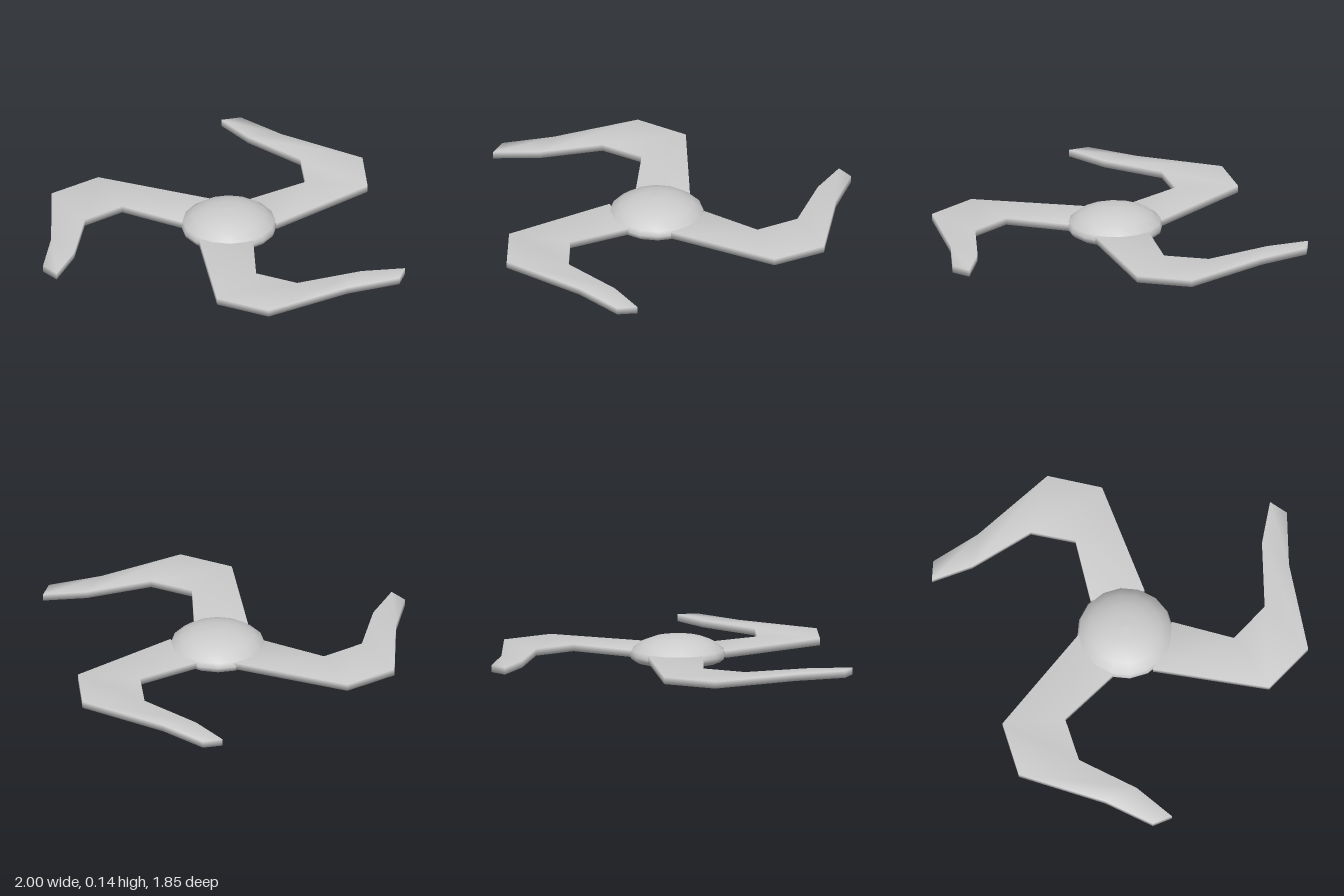
import * as THREE from 'three';

const material = new THREE.MeshStandardMaterial({ color: 0xcccccc });
const HUB = { x: -0.04, z: 0.087, sides: 16 };
const ARM_TOP = 0.057, ARM_BOTTOM = 0.02;

// Each arm runs root to tip as stations: outer x, z, then inner x, z.
const ARMS = {
  rightArm: [
    [-0.2, -0.09, -0.26, 0.19], [-0.835, -0.085, -0.61, 0.15], [-1, 0.16, -0.74, 0.35],
    [-0.83, 0.6, -0.67, 0.68], [-0.77, 0.87, -0.675, 0.92],
  ],
  backArm: [
    [0.2, 0.02, -0.02, -0.16], [0.5, -0.51, 0.185, -0.43], [0.37, -0.77, 0.075, -0.64],
    [-0.11, -0.845, -0.26, -0.755], [-0.37, -0.93, -0.455, -0.87],
  ],
  frontArm: [
    [-0.11, 0.33, 0.155, 0.24], [0.195, 0.86, 0.29, 0.545], [0.49, 0.88, 0.525, 0.56],
    [0.785, 0.51, 0.79, 0.325], [1, 0.32, 0.99, 0.215],
  ],
};

// Flat bent blade: a four-cornered section carried along the stations, softly shaded
function bladeGeometry(stations) {
  const positions = [], index = [];
  for (const [ox, oz, ix, iz] of stations) {
    positions.push(ox, ARM_TOP, oz, ix, ARM_TOP, iz, ix, ARM_BOTTOM, iz, ox, ARM_BOTTOM, oz);
  }
  for (let i = 0; i < stations.length - 1; i++) {
    for (let j = 0; j < 4; j++) {
      const a = i * 4 + j, b = i * 4 + (j + 1) % 4;
      index.push(a, a + 4, b + 4, a, b + 4, b);
    }
  }
  // root and tip caps
  const e = (stations.length - 1) * 4;
  index.push(0, 1, 2, 0, 2, 3, e, e + 2, e + 1, e, e + 3, e + 2);
  const geometry = new THREE.BufferGeometry();
  geometry.setAttribute('position', new THREE.Float32BufferAttribute(positions, 3));
  geometry.setIndex(index);
  geometry.computeVertexNormals();
  return geometry;
}

function addMesh(parent, name, geometry) {
  const mesh = new THREE.Mesh(geometry, material);
  mesh.name = name;
  parent.add(mesh);
  return mesh;
}

export function createModel() {
  const model = new THREE.Group();
  model.name = 'threeArmedSpinner';

  // Domed hub with a flat underside
  const hub = new THREE.Group();
  hub.name = 'hub';
  hub.position.set(HUB.x, 0, HUB.z);
  const profile = [
    [0.225, 0], [0.245, 0.015], [0.25, 0.035], [0.24, 0.06],
    [0.19, 0.098], [0.13, 0.121], [0.07, 0.132], [0, 0.136],
  ].map(([r, y]) => new THREE.Vector2(r, y));
  addMesh(hub, 'hubDome', new THREE.LatheGeometry(profile, HUB.sides));
  const base = new THREE.CircleGeometry(0.225, HUB.sides).rotateX(Math.PI / 2);
  addMesh(hub, 'hubBase', base);
  model.add(hub);

  // Three bent arms
  for (const [name, stations] of Object.entries(ARMS)) {
    addMesh(model, name, bladeGeometry(stations));
  }
  return model;
}
